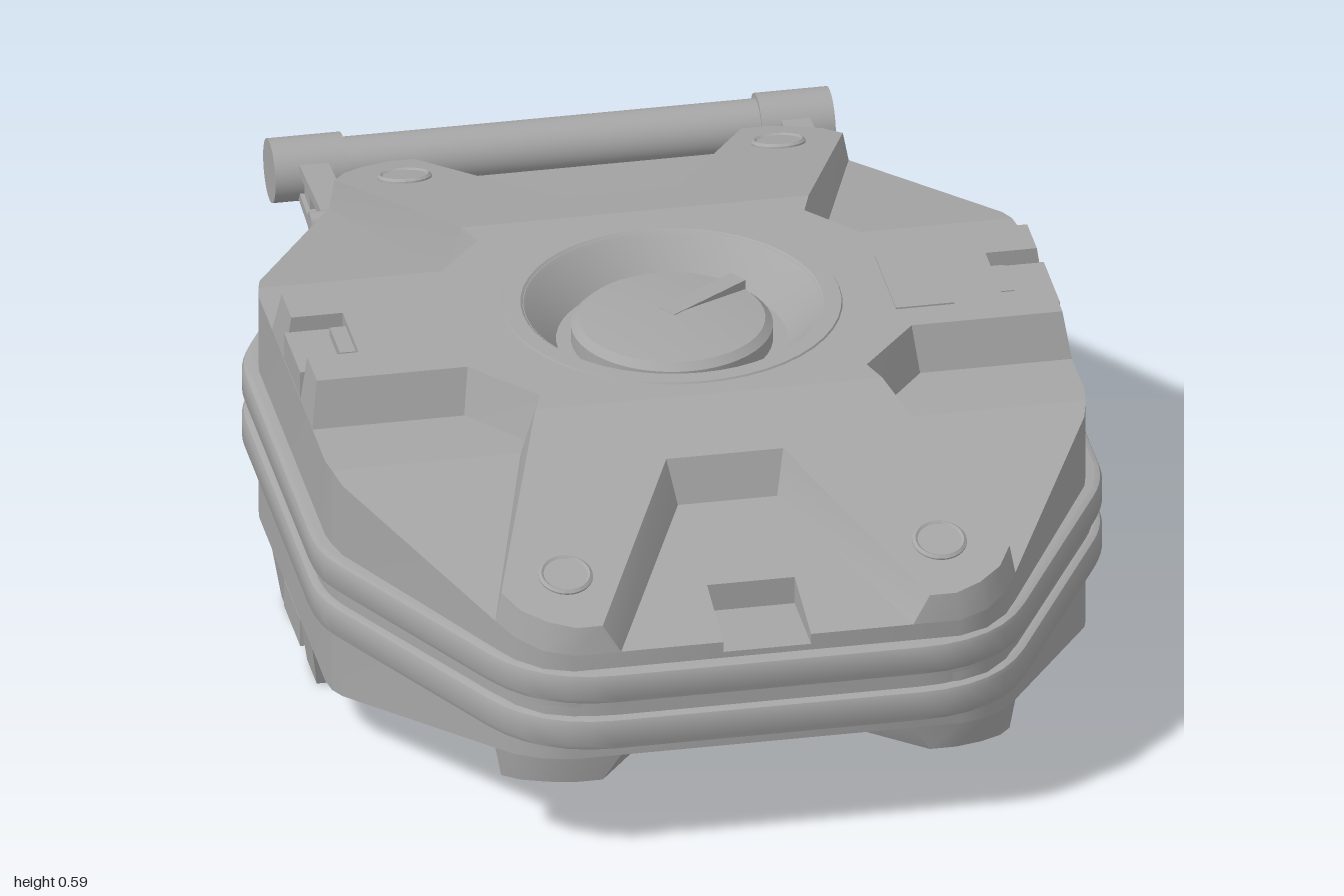
import * as THREE from 'three';
import { toCreasedNormals } from 'three/addons/utils/BufferGeometryUtils.js';

const MID_Y = 0.293, MID_Z = 0.135; // centre of the case
const TOP = 0.29, FLOOR = 0.21, BREAK = 0.325;
const past = (w) => Math.max(0, Math.abs(w) - BREAK);
const topY = (w) => TOP - 0.2816 * past(w);
const floorY = (w) => FLOOR - 0.216 * past(w);

const mirrorHalf = (h) => [...h, ...h.map(([x, w]) => [-x, w]).reverse()];
const mirrorQuarter = (q) => {
  const h = mirrorHalf(q);
  return [...h, ...h.map(([x, w]) => [-x, -w])];
};

// Prism with a drafted wall: top outline, base outline, and a height rule for each
function prism(top, base, yTop, yBase, hole = []) {
  const v = (p) => new THREE.Vector2(p[0], p[1]);
  if (THREE.ShapeUtils.isClockWise(top.map(v))) {
    top = [...top].reverse();
    base = [...base].reverse();
  }
  const pos = [];
  const put = (p, rule) => pos.push(p[0], rule(p[1]), p[1]);
  const all = [...top, ...hole];
  const faces = THREE.ShapeUtils.triangulateShape(top.map(v), hole.length ? [hole.map(v)] : []);
  for (const f of faces) {
    let [a, b, c] = f.map((i) => all[i]);
    const area = (b[0] - a[0]) * (c[1] - a[1]) - (b[1] - a[1]) * (c[0] - a[0]);
    if (area > 0) [b, c] = [c, b];
    [a, b, c].forEach((p) => put(p, yTop));
  }
  top.forEach((a, i) => {
    const j = (i + 1) % top.length;
    put(a, yTop); put(top[j], yTop); put(base[j], yBase);
    put(a, yTop); put(base[j], yBase); put(base[i], yBase);
  });
  const g = new THREE.BufferGeometry();
  g.setAttribute('position', new THREE.Float32BufferAttribute(pos, 3));
  return toCreasedNormals(g, 0.5);
}

// Octagonal plan with rounded corners
function octagon(x, w, inset) {
  const pts = mirrorQuarter([[x - inset, 0.34], [0.4 - inset * 0.8, w - inset]]);
  const s = new THREE.Shape();
  pts.forEach((p, i) => {
    const cut = i % 4 === 0 || i % 4 === 3 ? 0.06 : 0.13;
    const c = new THREE.Vector2(...p);
    const toward = (q) => {
      const d = new THREE.Vector2(...q).sub(c);
      return d.setLength(cut).add(c);
    };
    const a = toward(pts[(i + 7) % 8]), b = toward(pts[(i + 1) % 8]);
    if (i === 0) s.moveTo(a.x, a.y); else s.lineTo(a.x, a.y);
    s.quadraticCurveTo(c.x, c.y, b.x, b.y);
  });
  s.closePath();
  return s;
}

export function createModel() {
  const grey = new THREE.MeshStandardMaterial({ color: 0xa6a6a6 });
  grey.name = 'matte grey';
  const root = new THREE.Group();
  root.name = 'carryCase';
  const add = (parent, name, geo, x = 0, y = 0, z = 0) => {
    const m = new THREE.Mesh(geo, grey);
    m.name = name;
    m.position.set(x, y, z);
    parent.add(m);
    return m;
  };
  const box = (w, h, d) => new THREE.BoxGeometry(w, h, d);
  const lathe = (pts) => toCreasedNormals(
    new THREE.LatheGeometry(pts.map((p) => new THREE.Vector2(...p)), 48), 0.5);

  const shellSide = [[0.645, 0.325], [0.635, 0.365], [0.445, 0.735], [0.42, 0.78], [0.38, 0.82], [0.33, 0.84]];
  const notch = [[0.075, 0.84], [0.075, 0.695]];
  const ribTop = [[0.297, 0.325], [0.435, 0.735], [0.41, 0.78], [0.37, 0.812], [0.325, 0.832], [0.28, 0.832], [0.1, 0.465]];
  const ribBase = [[0.322, 0.325], [0.445, 0.735], [0.42, 0.78], [0.38, 0.82], [0.33, 0.84], [0.25, 0.84], [0.085, 0.49]];
  const hubTop = [[0.55, 0.07], [0.638, 0.07], [0.638, 0.155], [0.38, 0.155], [0.28, 0.275], [0.297, 0.325]];
  const hubBase = [[0.55, 0.07], [0.65, 0.07], [0.65, 0.178], [0.39, 0.178], [0.306, 0.282], [0.322, 0.325]];
  const circle = Array.from({ length: 48 }, (_, i) => {
    const a = (i / 48) * Math.PI * 2;
    return [0.25 * Math.cos(a), 0.25 * Math.sin(a)];
  });
  const zero = () => 0;

  // One half shell: recessed floor plus raised X-shaped ribs
  function halfShell(isLid) {
    const g = new THREE.Group();
    g.name = isLid ? 'lid' : 'lowerShell';
    const mid = mirrorQuarter([[0.65, 0.29], [0.645, 0.325]]);
    add(g, 'shellCentre', prism(mid, mid, floorY, zero));
    add(g, 'raisedHub', prism(mirrorQuarter(hubTop), mirrorQuarter(hubBase), topY, floorY, isLid ? circle : []));
    for (const end of [0, 1]) {
      const e = new THREE.Group();
      e.name = end ? 'backEnd' : 'frontEnd';
      e.rotation.y = end * Math.PI;
      g.add(e);
      const latched = isLid && !end;
      const plan = mirrorHalf(latched ? [...shellSide, ...notch] : shellSide);
      add(e, 'shellEnd', prism(plan, plan, floorY, zero));
      add(e, 'raisedRibs', prism(mirrorHalf(ribTop), mirrorHalf(ribBase), topY, floorY));
      if (latched) add(e, 'frontLatchFloor', box(0.16, 0.08, 0.15), 0, 0.04, 0.765);
      // Corner bolts lie on the slope
      for (const x of [-0.32, 0.32]) {
        const b = add(e, 'cornerBolt', lathe([[0.046, -0.01], [0.046, 0.003], [0.041, 0.007], [0.037, 0.004], [0, 0.004]]), x, topY(0.71), 0.71);
        b.rotation.x = Math.atan(0.2816);
      }
    }
    // Side latches in the arm ends
    for (const s of [-1, 1]) {
      add(g, 'sideLatchFloor', box(0.11, 0.05, 0.142), s * 0.595, 0.237, 0);
      add(g, 'sideLatchTab', box(0.03, 0.02, 0.09), s * 0.562, 0.268, 0);
    }
    g.position.set(0, MID_Y, MID_Z);
    if (!isLid) g.rotation.z = Math.PI;
    root.add(g);
    return g;
  }
  const lid = halfShell(true);
  const lower = halfShell(false);
  add(lower, 'basePanel', box(0.4, 0.006, 0.34), 0, TOP, 0);

  // Dial sunk into a round well
  add(lid, 'dialWell', lathe([[0.288, 0.288], [0.285, 0.293], [0.255, 0.293], [0.245, 0.285], [0.195, 0.222], [0, 0.222]]));
  add(lid, 'dial', lathe([[0.17, 0.22], [0.17, 0.25], [0.157, 0.262], [0, 0.28]]));
  const pointer = add(lid, 'dialPointer', box(0.17, 0.02, 0.035), 0.06, 0.269, -0.04);
  pointer.rotation.y = 0.6;
  add(lid, 'sidePanel', box(0.1, 0.006, 0.19), 0.415, TOP, 0);

  // Two rim bands with a seam between them
  const band = (name, outline, y, height, bevel) => {
    const geo = new THREE.ExtrudeGeometry(outline, {
      depth: height - 2 * bevel, bevelEnabled: bevel > 0, bevelThickness: bevel,
      bevelSize: bevel, bevelSegments: 2, curveSegments: 6,
    });
    geo.rotateX(-Math.PI / 2);
    add(root, name, toCreasedNormals(geo, 0.5), 0, y + bevel, MID_Z);
  };
  const rim = octagon(0.677, 0.865, 0.012);
  band('lowerBand', rim, 0.216, 0.06, 0.012);
  band('upperBand', rim, 0.304, 0.058, 0.012);
  band('seam', octagon(0.677, 0.865, 0.017), 0.27, 0.04, 0);

  // Carrying handle
  const handle = new THREE.Group();
  handle.name = 'handle';
  root.add(handle);
  const barY = 0.305, barZ = -0.945;
  const roll = (name, r, len, x, y, z) => {
    add(handle, name, new THREE.CylinderGeometry(r, r, len, 32), x, y, z).rotation.z = Math.PI / 2;
  };
  roll('grip', 0.046, 0.8, 0, barY, barZ);
  for (const s of [-1, 1]) {
    roll('gripCap', 0.055, 0.125, s * 0.417, barY, barZ);
    for (const [y0, y1] of [[0.347, 0.325], [0.252, 0.277]]) {
      const z0 = -0.64, z1 = -0.92;
      const arm = add(handle, 'handleArm', box(0.05, 0.018, Math.hypot(z1 - z0, y1 - y0)), s * 0.412, (y0 + y1) / 2, (z0 + z1) / 2);
      arm.rotation.x = Math.atan2(y1 - y0, z0 - z1);
      roll('hingePin', 0.02, 0.09, s * 0.418, y0, -0.675);
    }
    add(handle, 'armBridge', box(0.035, 0.05, 0.06), s * 0.412, 0.302, -0.875);
  }
  return root;
}
